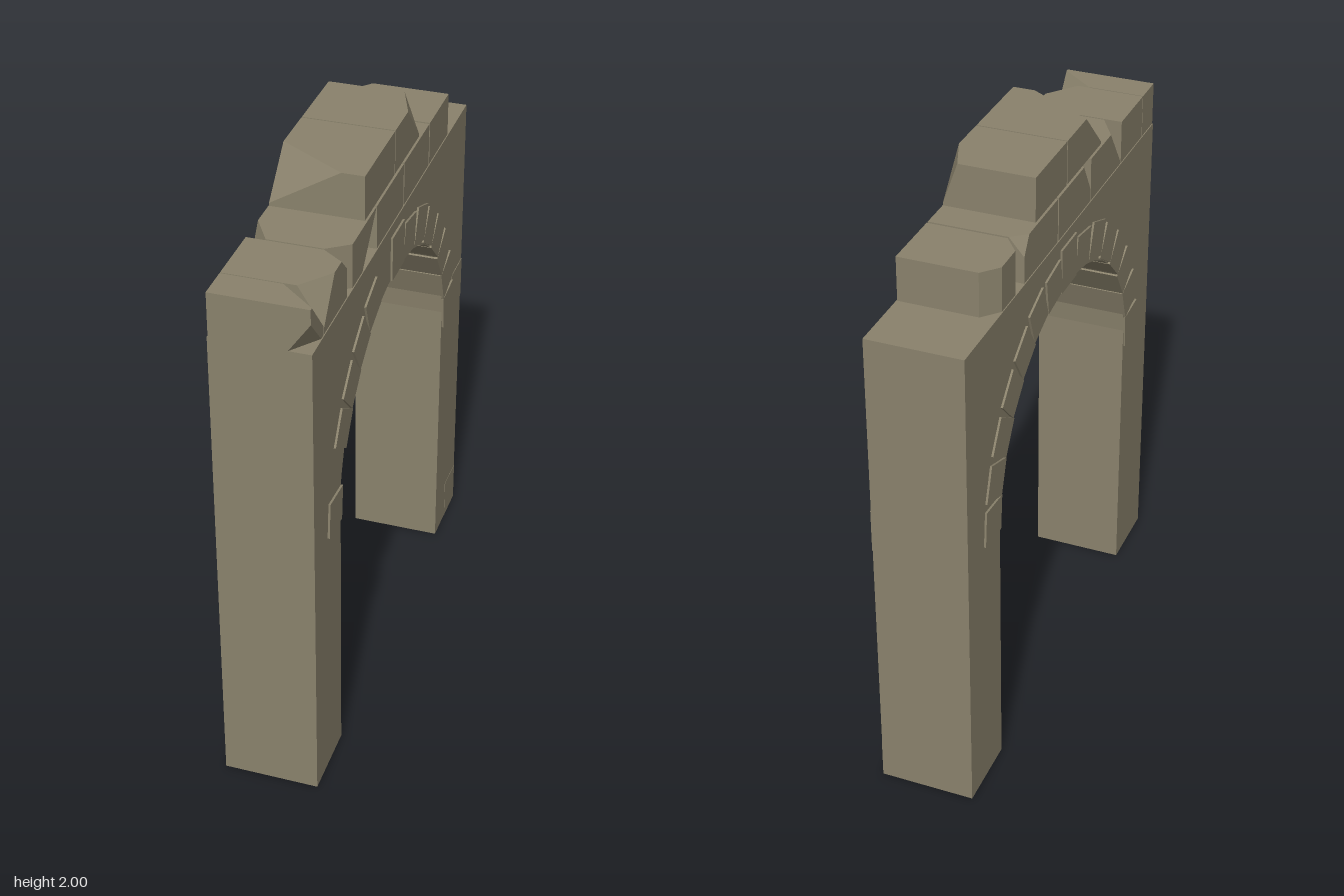
import * as THREE from 'three';
import { ConvexGeometry } from 'three/addons/geometries/ConvexGeometry.js';

const HALF = 0.16; // half thickness of the wall

// Box between two corners; each cut [sx, sy, sz, dx, dy, dz] slices off one corner.
function stoneGeometry(x0, x1, y0, y1, z0, z1, cuts = []) {
  const points = [];
  for (const sx of [-1, 1]) for (const sy of [-1, 1]) for (const sz of [-1, 1]) {
    const p = new THREE.Vector3(sx < 0 ? x0 : x1, sy < 0 ? y0 : y1, sz < 0 ? z0 : z1);
    const cut = cuts.find(c => c[0] === sx && c[1] === sy && c[2] === sz);
    if (!cut) { points.push(p); continue; }
    const [, , , dx, dy, dz] = cut;
    if (dx) points.push(p.clone().setX(p.x - sx * dx));
    if (dy) points.push(p.clone().setY(p.y - sy * dy));
    if (dz) points.push(p.clone().setZ(p.z - sz * dz));
  }
  return new ConvexGeometry(points);
}

// Vertical chamfer of a corner, as two cuts
const chamfer = (sx, sz, dx, dz) => [[sx, 1, sz, dx, 0, dz], [sx, -1, sz, dx, 0, dz]];

export function createModel() {
  const model = new THREE.Group();
  model.name = 'ruinedArch';
  const stone = new THREE.MeshStandardMaterial({ color: 0x8a826c });
  stone.name = 'weathered stone';

  const add = (name, geometry, parent = model) => {
    const mesh = new THREE.Mesh(geometry, stone);
    mesh.name = name;
    parent.add(mesh);
    return mesh;
  };

  // Wall with its round-headed opening, drawn in z and y
  const outline = new THREE.Shape();
  outline.moveTo(-0.835, 0);
  outline.lineTo(-0.58, 0);
  const steps = 20;
  for (let i = 0; i <= steps; i++) {
    const a = Math.PI * (1 - i / steps);
    outline.lineTo(0.58 * Math.cos(a), 1 + 0.505 * Math.sin(a));
  }
  outline.lineTo(0.58, 0);
  outline.lineTo(0.835, 0);
  outline.lineTo(0.835, 1.695);
  outline.lineTo(-0.835, 1.695);
  outline.closePath();
  const wall = new THREE.ExtrudeGeometry(outline, { depth: 2 * HALF, bevelEnabled: false });
  wall.translate(0, 0, -HALF).rotateY(-Math.PI / 2);
  add('wall', wall);

  // Arch stones: centre z, centre y, tilt in degrees; mirrored to both sides
  const ring = new THREE.Group();
  ring.name = 'archStones';
  model.add(ring);
  const layout = [
    [0.13, 1.56, 9], [0.265, 1.53, 21], [0.38, 1.46, 33], [0.48, 1.37, 44],
    [0.56, 1.26, 57], [0.617, 1.135, 71], [0.643, 1.0, 85],
  ];
  for (const side of [1, -1]) {
    layout.forEach(([z, y, tilt], i) => {
      // Two worn stones end flush with the wall on one face
      const worn = side > 0 && (i === 0 || i === 5);
      const cuts = worn ? [[1, 1, 1, 0.08, 0.08, 0.06]] : [];
      const geometry = stoneGeometry(-0.167, worn ? 0.159 : 0.167, -0.062, 0.062, -0.062, 0.062, cuts);
      const mesh = add('archStone', geometry, ring);
      mesh.position.set(0, y, side * z);
      mesh.rotation.x = side * THREE.MathUtils.degToRad(tilt);
    });
  }
  add('keystone', stoneGeometry(-0.167, 0.167, 1.5, 1.655, -0.066, 0.066), ring);

  // Broken courses on top: z range and cut corners
  const lower = [
    [-0.6, -0.375, [...chamfer(-1, -1, 0.05, 0.055), ...chamfer(-1, 1, 0.05, 0.065)]],
    [-0.367, -0.085, [[-1, 1, -1, 0.05, 0.06, 0.04]]],
    [-0.077, 0.207, [[-1, 1, 1, 0.06, 0.1, 0.06]]],
    [0.213, 0.5, [[1, -1, -1, 0.08, 0.149, 0.14], [-1, 1, 1, 0.06, 0.14, 0.1],
      ...chamfer(1, 1, 0.07, 0.05)]],
    [0.506, 0.72, [[1, 1, 1, 0.08, 0.13, 0.1], [1, 1, -1, 0.07, 0.05, 0.05]]],
    [0.724, 0.835, [[1, 1, -1, 0.12, 0.12, 0.1], [1, -1, 1, 0.07, 0.1, 0.09]]],
  ];
  for (const [z0, z1, cuts] of lower) {
    add('lowerCourseStone', stoneGeometry(-0.157, 0.157, 1.695, 1.845, z0, z1, cuts));
  }
  const upper = [
    [-0.262, 0.003, [[1, 1, -1, 0.05, 0.14, 0.13]]],
    [0.008, 0.315, [[-1, 1, 1, 0.23, 0.14, 0.14]]],
  ];
  for (const [z0, z1, cuts] of upper) {
    add('upperCourseStone', stoneGeometry(-0.152, 0.152, 1.85, 2, z0, z1, cuts));
  }

  // Corner stones showing on the rear pillar
  add('cornerStone', stoneGeometry(0.05, 0.162, 0.93, 1.08, -0.835, -0.705, [[1, -1, 1, 0.02, 0.02, 0.06]]));
  add('cornerStone', stoneGeometry(0.05, 0.161, 0, 0.15, -0.835, -0.705));

  return model;
}
